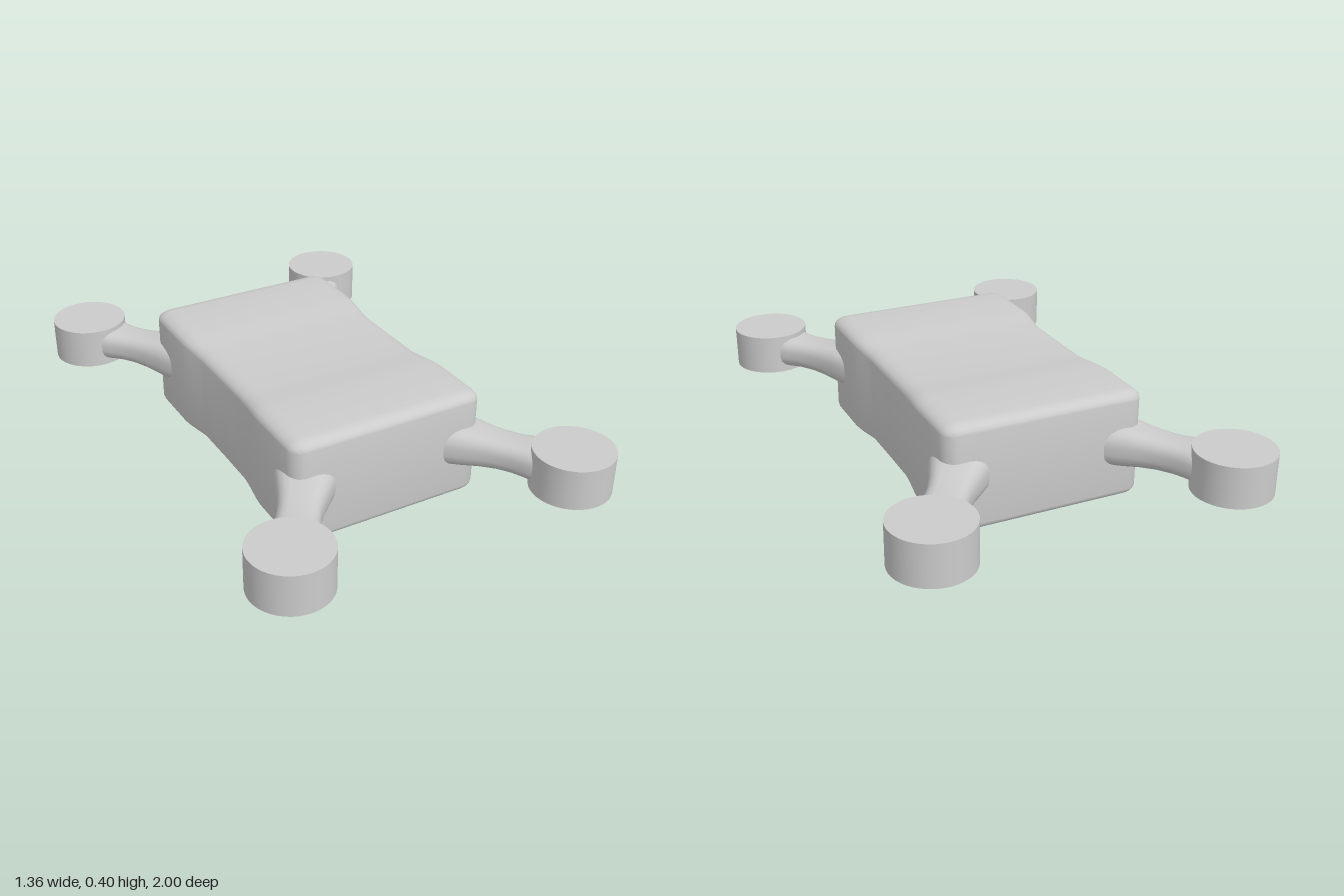
import * as THREE from 'three';
import { toCreasedNormals } from 'three/addons/utils/BufferGeometryUtils.js';

const material = new THREE.MeshStandardMaterial({ color: 0xcccccc });

// Rounded rectangle cross-section in the xy plane, counter-clockwise
function roundedRing(hw, hh, rx, ry, z, steps = 5) {
  const ring = [];
  for (let q = 0; q < 4; q++) {
    const sx = q === 0 || q === 3 ? 1 : -1;
    const sy = q < 2 ? 1 : -1;
    for (let i = 0; i <= steps; i++) {
      const a = (q + i / steps) * Math.PI / 2;
      ring.push([sx * (hw - rx) + rx * Math.cos(a), sy * (hh - ry) + ry * Math.sin(a), z]);
    }
  }
  return ring;
}

// Closed skin through rings ordered by rising z
function loft(rings, crease = 0.6) {
  const n = rings[0].length, last = rings.length - 1;
  const points = rings.flat();
  const index = [];
  for (let i = 0; i < last; i++) {
    for (let j = 0; j < n; j++) {
      const k = (j + 1) % n;
      const a = i * n + j, b = i * n + k, c = b + n, d = a + n;
      index.push(a, b, c, a, c, d);
    }
  }
  const start = points.length;
  points.push([0, 0, rings[0][0][2]], [0, 0, rings[last][0][2]]);
  for (let j = 0; j < n; j++) {
    const k = (j + 1) % n;
    index.push(start, k, j, start + 1, last * n + j, last * n + k);
  }
  const geometry = new THREE.BufferGeometry();
  geometry.setAttribute('position', new THREE.Float32BufferAttribute(points.flat(), 3));
  geometry.setIndex(index);
  return toCreasedNormals(geometry, crease);
}

// Rounded body, slightly pinched around the middle
function bodyGeometry() {
  const halfLength = 0.57, rx = 0.06, ry = 0.035, rz = 0.055;
  const half = [];
  for (const z of [0, 0.16, 0.2, 0.24, 0.28, 0.32, 0.42]) {
    const t = THREE.MathUtils.smoothstep(z, 0.14, 0.33);
    half.push([z, 0.352 + 0.018 * t, 0.188 + 0.012 * t, rx, ry]);
  }
  for (let i = 0; i <= 5; i++) {
    const a = i / 5 * Math.PI / 2;
    const inset = 0.92 * (1 - Math.cos(a));
    half.push([halfLength - rz + rz * Math.sin(a), 0.37 - rx * inset, 0.2 - ry * inset,
      rx * (1 - inset), ry * (1 - inset)]);
  }
  const mirrored = half.slice(1).reverse().map(([z, ...size]) => [-z, ...size]);
  return loft([...mirrored, ...half].map(([z, w, h, r, s]) => roundedRing(w, h, r, s, z)));
}

// Arm flared at both ends: distance from pod centre, half width, half height
function armGeometry() {
  const sections = [
    [0.5, 0.113, 0.074], [0.43, 0.104, 0.073], [0.37, 0.091, 0.068], [0.31, 0.079, 0.06],
    [0.25, 0.072, 0.055], [0.19, 0.073, 0.054], [0.15, 0.079, 0.056], [0.1, 0.087, 0.06],
  ];
  return loft(sections.map(([d, w, h]) => roundedRing(w, h, w * 0.55, h * 0.75, -d, 4)), 0.9);
}

export function createModel() {
  const model = new THREE.Group();
  model.name = 'quadcopter';
  const add = (name, geometry, x, y, z) => {
    const mesh = new THREE.Mesh(geometry, material);
    mesh.name = name;
    mesh.position.set(x, y, z);
    model.add(mesh);
    return mesh;
  };

  add('body', bodyGeometry(), 0, 0.2, 0);

  // Four arms, each ending in a round motor pod
  const arm = armGeometry();
  const pod = new THREE.CylinderGeometry(0.142, 0.142, 0.15, 40);
  for (const [zName, sz] of [['front', 1], ['back', -1]]) {
    for (const [xName, sx] of [['Left', 1], ['Right', -1]]) {
      const x = 0.54 * sx, z = 0.858 * sz;
      add(`${zName}${xName}Arm`, arm, x, 0.204, z).rotation.y = Math.atan2(0.57 * sx, 0.82 * sz);
      add(`${zName}${xName}MotorPod`, pod, x, 0.204, z);
    }
  }
  return model;
}
